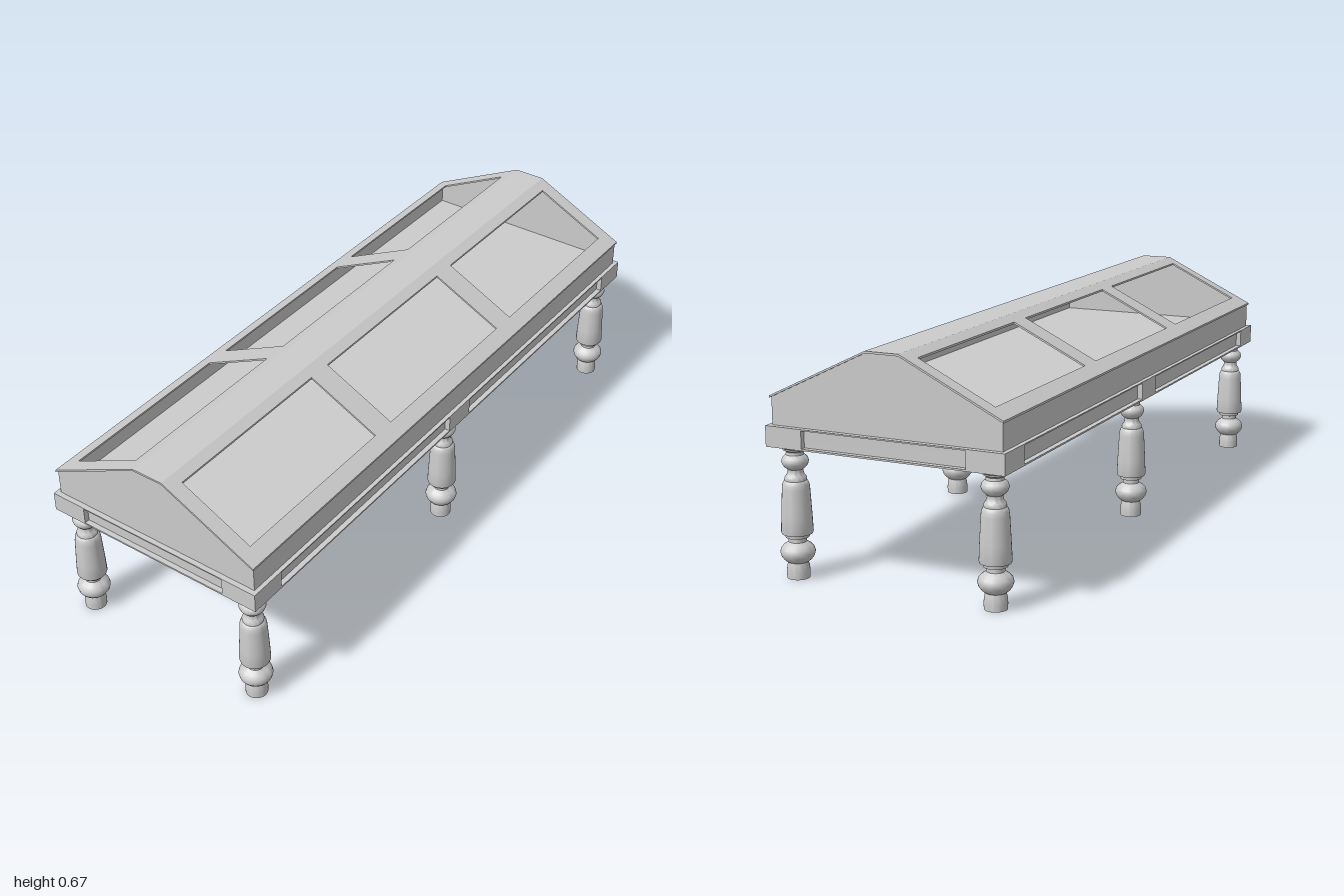
import * as THREE from 'three';
import { toCreasedNormals } from 'three/addons/utils/BufferGeometryUtils.js';

const grey = new THREE.MeshStandardMaterial({ color: 0xcccccc });
const greyOpen = new THREE.MeshStandardMaterial({ color: 0xcccccc, side: THREE.DoubleSide });

// Height of the roof's outer surface above a given x
const roofY = (x) => 0.667 - Math.max(0, Math.abs(x) - 0.05) * 0.487;
const ROOF_T = 0.006;
const WALL_T = 0.008;

function add(parent, name, geometry, x = 0, y = 0, z = 0, material = grey) {
  const mesh = new THREE.Mesh(geometry, material);
  mesh.name = name;
  mesh.position.set(x, y, z);
  parent.add(mesh);
  return mesh;
}

// Box given by its lower and upper height
function block(parent, name, w, y0, y1, d, x = 0, z = 0) {
  return add(parent, name, new THREE.BoxGeometry(w, y1 - y0, d), x, (y0 + y1) / 2, z);
}

function rectangle(Type, x0, x1, y0, y1) {
  const p = new Type();
  p.moveTo(x0, y0);
  p.lineTo(x1, y0);
  p.lineTo(x1, y1);
  p.lineTo(x0, y1);
  p.closePath();
  return p;
}

// Turned leg, open at the foot, [radius, height] upwards
function legGeometry() {
  const profile = [
    [0.032, 0], [0.0325, 0.018], [0.031, 0.034], [0.028, 0.046],
    [0.032, 0.048], [0.039, 0.054], [0.046, 0.064], [0.049, 0.075], [0.046, 0.086],
    [0.038, 0.095], [0.029, 0.101], [0.025, 0.104], [0.025, 0.115], [0.033, 0.117],
    [0.034, 0.126], [0.043, 0.128], [0.0445, 0.133], [0.0425, 0.18], [0.0385, 0.255],
    [0.037, 0.268], [0.033, 0.277], [0.030, 0.279], [0.031, 0.285], [0.029, 0.29],
    [0.024, 0.296], [0.022, 0.304], [0.022, 0.311], [0.029, 0.316], [0.035, 0.324],
    [0.038, 0.333], [0.035, 0.343], [0.029, 0.349], [0.025, 0.352], [0.024, 0.36],
    [0.028, 0.364], [0.033, 0.366], [0.033, 0.37], [0.037, 0.373], [0.037, 0.382],
  ].map(([r, y]) => new THREE.Vector2(r, y));
  return toCreasedNormals(new THREE.LatheGeometry(profile, 32), 0.7);
}

// Sloping half of the roof with three open windows, drawn in plan then sheared up
function slopeGeometry() {
  const shape = rectangle(THREE.Shape, 0.05, 0.352, -0.99, 0.99);
  for (const [z0, z1] of [[-0.942, -0.367], [-0.29, 0.29], [0.367, 0.942]]) {
    shape.holes.push(rectangle(THREE.Path, 0.081, 0.306, z0, z1));
  }
  const g = new THREE.ExtrudeGeometry(shape, { depth: ROOF_T, bevelEnabled: false });
  g.rotateX(-Math.PI / 2);
  const p = g.attributes.position;
  for (let i = 0; i < p.count; i++) {
    p.setY(i, p.getY(i) - ROOF_T + roofY(p.getX(i)));
  }
  g.computeVertexNormals();
  return g;
}

// End wall whose top follows the underside of the roof
function gableGeometry() {
  const s = new THREE.Shape();
  s.moveTo(-0.348, 0.437);
  s.lineTo(0.348, 0.437);
  for (const x of [0.348, 0.05, -0.05, -0.348]) s.lineTo(x, roofY(x) - ROOF_T + 0.001);
  s.closePath();
  const g = new THREE.ExtrudeGeometry(s, { depth: WALL_T, bevelEnabled: false });
  g.translate(0, 0, 0.984 - WALL_T);
  return g;
}

export function createModel() {
  const model = new THREE.Group();
  model.name = 'displayCase';

  // Six turned legs
  const leg = legGeometry();
  for (const x of [-0.305, 0.305]) {
    for (const z of [-0.945, 0, 0.945]) add(model, 'leg', leg, x, 0, z, greyOpen);
  }

  // Base: recessed core, thin edge rails, and blocks above the legs
  const base = new THREE.Group();
  base.name = 'base';
  model.add(base);
  block(base, 'recessedPanels', 0.69, 0.383, 0.435, 1.968);
  block(base, 'lowerRail', 0.722, 0.379, 0.384, 2);
  block(base, 'upperRail', 0.722, 0.434, 0.438, 2);
  for (const s of [-1, 1]) {
    block(base, 'middleBlock', 0.03, 0.379, 0.438, 0.11, s * 0.346, 0);
    for (const t of [-1, 1]) {
      block(base, 'cornerBlock', 0.113, 0.379, 0.438, 0.115, s * 0.3045, t * 0.9425);
    }
  }

  // Hollow case: raised floor, long walls and gables
  block(model, 'floor', 0.69, 0.437, 0.455, 1.96);
  const gable = gableGeometry();
  const slope = slopeGeometry();
  for (const s of [-1, 1]) {
    block(model, 'longWall', WALL_T, 0.437, 0.517, 1.966, s * (0.348 - WALL_T / 2));
    add(model, 'gable', gable).rotation.y = s > 0 ? 0 : Math.PI;
    add(model, 'roofSlope', slope).rotation.y = s > 0 ? 0 : Math.PI;
  }

  // Flat ridge
  block(model, 'roofRidge', 0.1, 0.667 - ROOF_T, 0.667, 1.98);
  return model;
}
